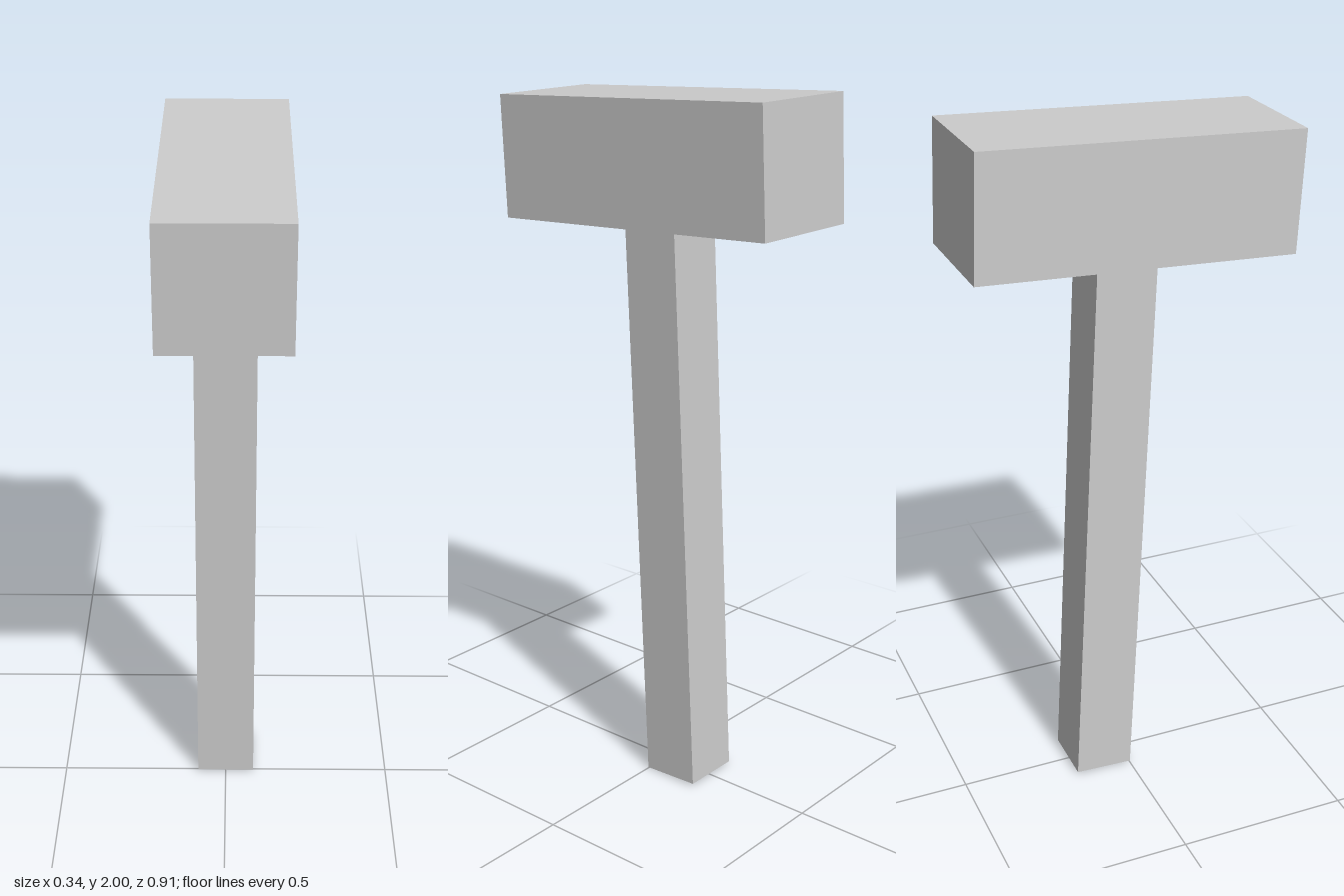
import * as THREE from 'three';

export function createModel() {
  const material = new THREE.MeshStandardMaterial({ color: 0xcccccc, flatShading: true });
  const hammer = new THREE.Group();
  hammer.name = 'hammer';

  const addBox = (name, width, height, depth, y) => {
    const mesh = new THREE.Mesh(new THREE.BoxGeometry(width, height, depth), material);
    mesh.name = name;
    mesh.position.y = y;
    hammer.add(mesh);
  };

  // Block head, centred on the tilt pivot
  const headHeight = 0.34;
  addBox('head', 0.343, headHeight, 0.9, 0);

  // Square handle, seated slightly into the underside of the head
  const handleBottom = -1.808;
  const handleTop = -headHeight / 2 + 0.01;
  addBox('handle', 0.172, handleTop - handleBottom, 0.172, (handleTop + handleBottom) / 2);

  // The whole hammer leans slightly forward
  hammer.position.y = 1.81;
  hammer.rotation.x = 0.046;

  const model = new THREE.Group();
  model.name = 'model';
  model.add(hammer);
  return model;
}
